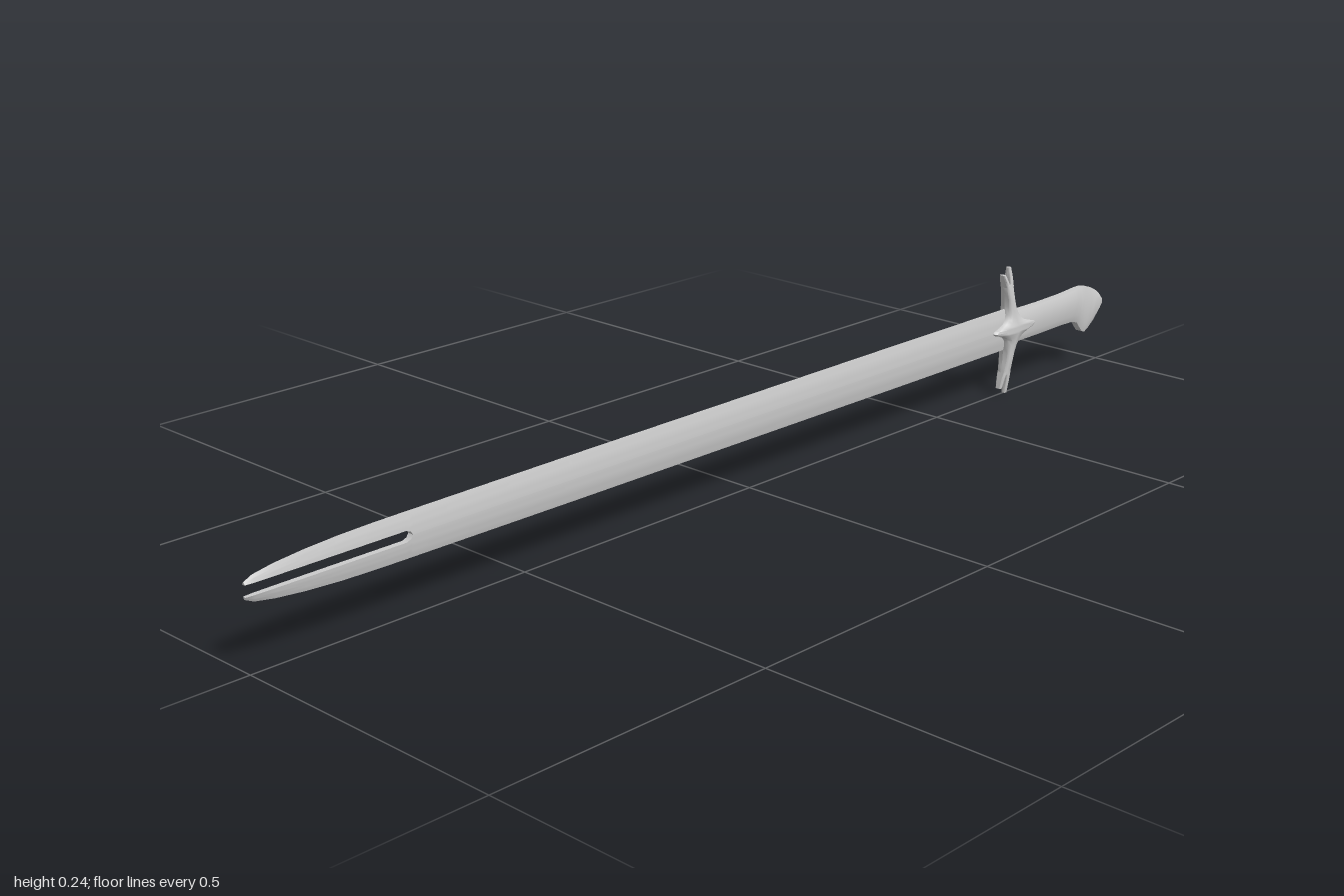
import * as THREE from 'three';
import { toCreasedNormals } from 'three/addons/utils/BufferGeometryUtils.js';

const material = new THREE.MeshStandardMaterial({ color: 0xcccccc });
const MID = 0.125; // height of the sword's long axis

// Skin a list of equal-length rings, close both ends, and turn faces outward.
function loft(name, rings, crease = 0.7) {
  const n = rings[0].length, tris = [];
  for (let i = 0; i < rings.length - 1; i++) {
    for (let j = 0; j < n; j++) {
      const k = (j + 1) % n;
      const a = rings[i][j], b = rings[i][k], c = rings[i + 1][k], d = rings[i + 1][j];
      tris.push([a, b, c], [a, c, d]);
    }
  }
  const first = rings[0], last = rings[rings.length - 1];
  for (let j = 1; j < n - 1; j++) {
    tris.push([first[0], first[j + 1], first[j]], [last[0], last[j], last[j + 1]]);
  }
  let volume = 0;
  for (const [a, b, c] of tris) volume += a.dot(b.clone().cross(c));
  if (volume < 0) tris.forEach((t) => t.reverse());
  const geometry = new THREE.BufferGeometry().setFromPoints(tris.flat());
  const mesh = new THREE.Mesh(toCreasedNormals(geometry, crease), material);
  mesh.name = name;
  return mesh;
}

// One half of the blade: lens section, thick at the centre line, sharp outside.
function bladeHalf(name, side) {
  // x, distance of slot wall from axis, distance of edge from axis
  const stations = [
    [-1, 0.009, 0.013], [-0.985, 0.009, 0.02], [-0.95, 0.009, 0.026],
    [-0.9, 0.009, 0.031], [-0.84, 0.009, 0.0345], [-0.78, 0.009, 0.036],
    [-0.725, 0.009, 0.0365], [-0.717, 0.006, 0.0365], [-0.713, 0, 0.0365],
    [-0.4, 0, 0.038], [0, 0, 0.039], [0.4, 0, 0.04], [0.71, 0, 0.04],
  ];
  const steps = 6;
  const rings = stations.map(([x, inner, outer]) => {
    const front = [], back = [];
    for (let i = 0; i <= steps; i++) {
      const r = inner + (outer - inner) * i / steps;
      const z = 0.0052 * (1 - (r / outer) ** 2) + 0.0004;
      front.push(new THREE.Vector3(x, MID + side * r, z));
      back.unshift(new THREE.Vector3(x, MID + side * r, -z));
    }
    return [...front, ...back];
  });
  return loft(name, rings);
}

// Horizontal rounded section at height y for the guard.
function guardRing(y, x0, x1, depth) {
  const ring = [];
  for (let i = 0; i < 12; i++) {
    const a = i / 12 * Math.PI * 2, c = Math.cos(a), s = Math.sin(a);
    const x = (x0 + x1) / 2 + (x1 - x0) / 2 * Math.sign(c) * Math.abs(c) ** 0.9;
    ring.push(new THREE.Vector3(x, y, depth * Math.sign(s) * Math.abs(s) ** 0.6));
  }
  return ring;
}

function guard() {
  const group = new THREE.Group();
  group.name = 'guard';
  // offset from axis, x range, half depth; the wide middle forms the langets
  const arm = [
    [0.004, 0.655, 0.778, 0.0200], [0.008, 0.67, 0.762, 0.0195],
    [0.013, 0.682, 0.744, 0.0185], [0.02, 0.689, 0.733, 0.0172],
    [0.03, 0.693, 0.725, 0.0155], [0.045, 0.694, 0.718, 0.0142],
    [0.06, 0.693, 0.714, 0.0132], [0.075, 0.69, 0.712, 0.0117],
    [0.087, 0.688, 0.711, 0.0098],
  ];
  const profile = [
    ...arm.map(([d, ...rest]) => [-d, ...rest]).reverse(),
    [0, 0.65, 0.782, 0.0202], ...arm,
  ];
  group.add(loft('crossGuard', profile.map(([d, ...r]) => guardRing(MID + d, ...r)), 0.9));
  // forked tips, mirrored above and below
  for (const side of [1, -1]) {
    const end = side > 0 ? 0.119 : 0.125;
    const forks = {
      shortProng: [[0.082, 0.689, 0.701, 0.0100], [0.094, 0.685, 0.696, 0.0085], [end - 0.012, 0.681, 0.689, 0.0060]],
      longProng: [[0.082, 0.698, 0.711, 0.0100], [0.1, 0.698, 0.709, 0.0080], [end, 0.698, 0.706, 0.0045]],
    };
    for (const [name, rows] of Object.entries(forks)) {
      group.add(loft(name, rows.map(([d, ...r]) => guardRing(MID + side * d, ...r)), 0.9));
    }
  }
  return group;
}

// Grip with chamfered section, swelling into a hooked pommel.
function grip() {
  // x, bottom, top, half depth
  const stations = [
    [0.71, 0.096, 0.156, 0.012], [0.8, 0.096, 0.155, 0.012],
    [0.87, 0.097, 0.156, 0.012], [0.905, 0.096, 0.158, 0.012],
    [0.92, 0.091, 0.159, 0.012], [0.929, 0.08, 0.159, 0.012],
    [0.938, 0.07, 0.159, 0.012], [0.946, 0.067, 0.158, 0.012],
    [0.958, 0.073, 0.155, 0.012], [0.975, 0.085, 0.147, 0.0118],
    [0.99, 0.1, 0.137, 0.011], [1, 0.111, 0.127, 0.0085],
  ];
  const rings = stations.map(([x, low, high, d]) => {
    const cut = (high - low) * 0.22, flat = d * 0.58;
    return [
      [low, flat], [low + cut, d], [high - cut, d], [high, flat],
      [high, -flat], [high - cut, -d], [low + cut, -d], [low, -flat],
    ].map(([y, z]) => new THREE.Vector3(x, y, z));
  });
  return loft('gripAndPommel', rings, 0.6);
}

export function createModel() {
  const model = new THREE.Group();
  model.name = 'sword';
  const blade = new THREE.Group();
  blade.name = 'splitBlade';
  blade.add(bladeHalf('upperBlade', 1), bladeHalf('lowerBlade', -1));
  model.add(blade, guard(), grip());
  return model;
}
